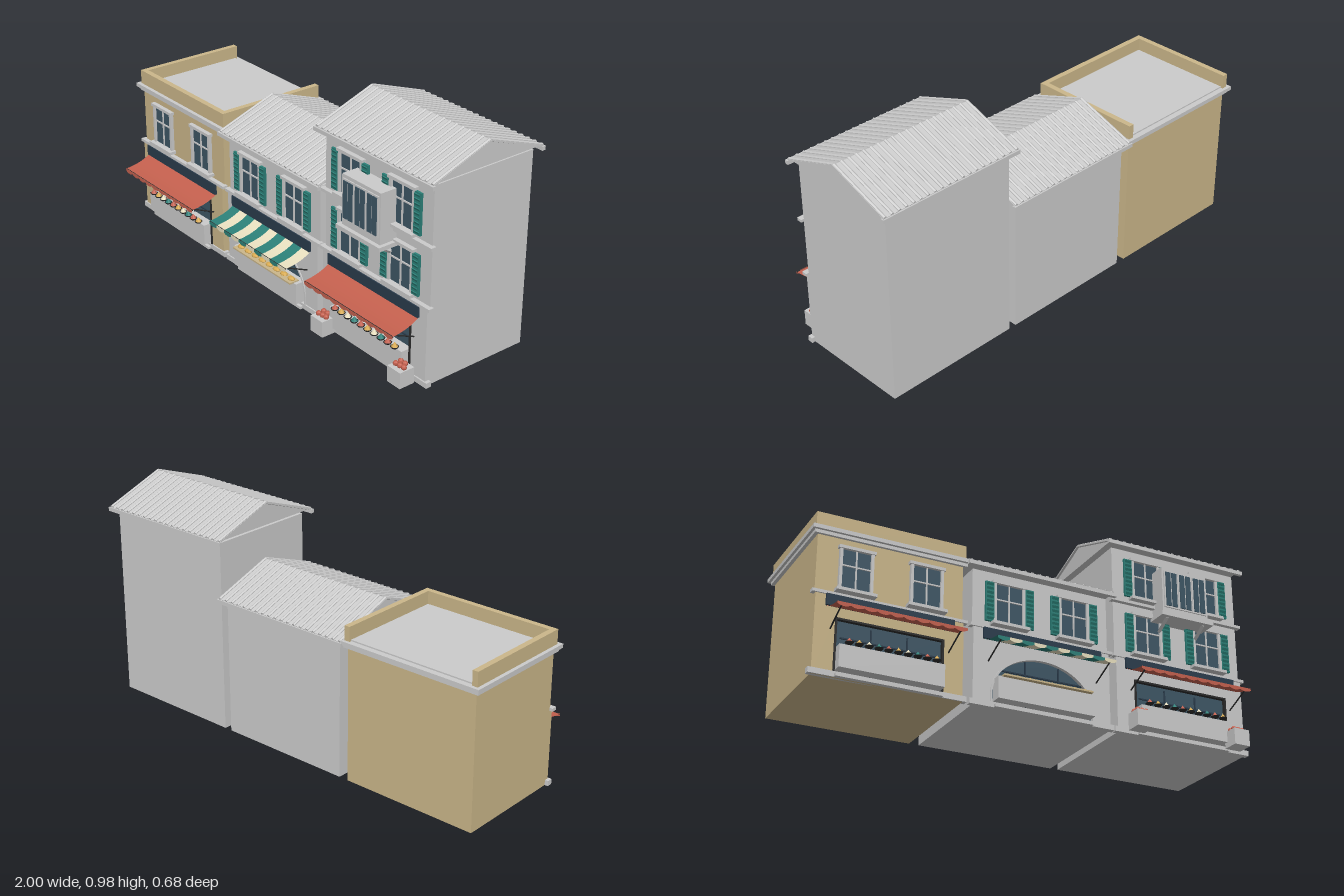
import * as THREE from 'three';

const mat = (color, side = THREE.FrontSide) => new THREE.MeshStandardMaterial({ color, side, flatShading: true });
const grey = mat(0xcccccc), tan = mat(0xcbb78a), glass = mat(0x3e5665), navy = mat(0x2a3c4c);
const teal = mat(0x2c8078), red = mat(0xc4604e), gold = mat(0xd9ab52), cream = mat(0xe9e0c0), dark = mat(0x2b2b2b);
const cloth = { red: mat(0xc4604e, THREE.DoubleSide), teal: mat(0x2c8078, THREE.DoubleSide), cream: mat(0xe9e0c0, THREE.DoubleSide) };
const WALL = 0.19, BACK = -0.31, HALF = 0.31;

function add(parent, name, geometry, material, x = 0, y = 0, z = 0) {
  const m = new THREE.Mesh(geometry, material);
  m.name = name;
  m.position.set(x, y, z);
  parent.add(m);
  return m;
}

// box given by its limits on each axis
function block(parent, name, material, x0, x1, y0, y1, z0, z1) {
  return add(parent, name, new THREE.BoxGeometry(x1 - x0, y1 - y0, z1 - z0), material,
    (x0 + x1) / 2, (y0 + y1) / 2, (z0 + z1) / 2);
}

// rod between two points
function rod(parent, name, material, a, b, r, sides = 6) {
  const p = new THREE.Vector3(...a), q = new THREE.Vector3(...b), d = q.clone().sub(p);
  const m = add(parent, name, new THREE.CylinderGeometry(r, r, d.length(), sides), material);
  m.position.copy(p).add(q).multiplyScalar(0.5);
  m.quaternion.setFromUnitVectors(new THREE.Vector3(0, 1, 0), d.normalize());
  return m;
}

function sub(parent, name, x = 0, y = 0, z = 0) {
  const g = new THREE.Group();
  g.name = name;
  g.position.set(x, y, z);
  parent.add(g);
  return g;
}

// window with frame, glazing bars, lintel, sill and optional louvred shutters; y is the sill's underside
function windowUnit(parent, x, y, shutters) {
  const g = sub(parent, 'window', x, y, WALL);
  block(g, 'glass', glass, -0.062, 0.062, 0.01, 0.19, 0, 0.006);
  for (const s of [-1, 1]) {
    add(g, 'windowJamb', new THREE.BoxGeometry(0.012, 0.178, 0.016), grey, s * 0.065, 0.1, 0.008);
    if (!shutters) continue;
    const sh = sub(g, 'shutter', s * 0.09, 0.101, 0.012);
    add(sh, 'shutterPanel', new THREE.BoxGeometry(0.038, 0.175, 0.01), teal);
    for (let i = 0; i < 9; i++) {
      const slat = add(sh, 'shutterSlat', new THREE.BoxGeometry(0.03, 0.01, 0.004), teal, 0, -0.076 + i * 0.019, 0.006);
      slat.rotation.x = 0.4;
    }
  }
  block(g, 'mullion', grey, -0.003, 0.003, 0.01, 0.19, 0, 0.011);
  block(g, 'transom', grey, -0.06, 0.06, 0.115, 0.121, 0, 0.011);
  block(g, 'lintel', grey, -0.077, 0.077, 0.187, 0.2, 0, 0.02);
  block(g, 'sill', grey, -0.083, 0.083, 0, 0.013, 0, 0.034);
}

// sagging awning made of stripes, each with a rounded valance
function awning(parent, colors) {
  const g = sub(parent, 'awning'), n = 10, w = 0.534 / n;
  const curve = new THREE.QuadraticBezierCurve3(new THREE.Vector3(0, 0.287, 0.208),
    new THREE.Vector3(0, 0.255, 0.255), new THREE.Vector3(0, 0.25, 0.335));
  const flap = new THREE.Shape();
  flap.moveTo(-w / 2, 0).lineTo(-w / 2, -0.01).quadraticCurveTo(0, -0.025, w / 2, -0.01).lineTo(w / 2, 0);
  for (let i = 0; i < n; i++) {
    const geo = new THREE.PlaneGeometry(w, 1, 1, 8), p = geo.attributes.position;
    for (let k = 0; k < p.count; k++) {
      const c = curve.getPoint(0.5 - p.getY(k));
      p.setXYZ(k, p.getX(k), c.y, c.z);
    }
    geo.computeVertexNormals();
    const x = (i + 0.5) * w - 0.267, m = colors[i % colors.length];
    add(g, 'awningStripe', geo, m, x);
    add(g, 'awningValance', new THREE.ShapeGeometry(flap, 5), m, x, 0.25, 0.335);
  }
  for (const s of [-1, 1]) rod(g, 'awningArm', dark, [s * 0.245, 0.246, 0.328], [s * 0.245, 0.193, 0.207], 0.003);
  rod(g, 'awningBar', dark, [-0.265, 0.248, 0.332], [0.265, 0.248, 0.332], 0.003);
}

// shop opening outline, square or arched
function openingPath(PathType, arched, grow = 0) {
  const p = new PathType(), w = 0.226 + grow;
  if (arched) {
    p.moveTo(w, 0.02).lineTo(w, 0.06);
    p.absellipse(0, 0.06, w, 0.178 + grow, 0, Math.PI, false, 0);
    p.lineTo(-w, 0.02);
  } else p.moveTo(w, 0.02).lineTo(w, 0.245 + grow).lineTo(-w, 0.245 + grow).lineTo(-w, 0.02);
  p.closePath();
  return p;
}

function shopFront(parent, wall, arched, colors) {
  const g = sub(parent, 'shopFront');
  const front = new THREE.Shape();
  front.moveTo(-HALF, 0).lineTo(HALF, 0).lineTo(HALF, 0.34).lineTo(-HALF, 0.34).closePath();
  front.holes.push(openingPath(THREE.Path, arched));
  const opts = { depth: 0.014, bevelEnabled: false, curveSegments: 24 };
  add(g, 'shopWall', new THREE.ExtrudeGeometry(front, opts), wall, 0, 0, WALL);
  const trim = openingPath(THREE.Shape, arched, arched ? 0.008 : 0);
  trim.holes.push(openingPath(THREE.Path, arched, arched ? 0 : -0.008));
  add(g, 'openingTrim', new THREE.ExtrudeGeometry(trim, { ...opts, depth: 0.019 }), arched ? grey : dark, 0, 0, WALL);
  add(g, 'shopGlass', new THREE.ShapeGeometry(openingPath(THREE.Shape, arched), 24), glass, 0, 0, WALL + 0.003);
  for (const x of [-0.075, 0.075]) block(g, 'shopMullion', navy, x - 0.003, x + 0.003, 0.03, 0.225, WALL, 0.198);
  block(g, 'shopTransom', navy, -0.2, 0.2, 0.165, 0.171, WALL, 0.198);
  block(g, 'plinth', grey, -0.325, 0.325, 0, 0.023, 0.185, 0.21);
  block(g, 'step', grey, -0.22, 0.22, 0, 0.012, WALL, 0.224);
  block(g, 'counter', grey, -0.217, 0.217, 0.03, 0.124, WALL, 0.243);
  block(g, 'signBoard', navy, -0.268, 0.268, 0.287, 0.335, 0.2, 0.215);
  block(g, 'stringCourse', grey, -0.325, 0.325, 0.334, 0.347, 0.185, 0.21);
  awning(g, colors);
  // goods on display: loaves for the arched shop, heaped bowls otherwise
  const heaps = [red, gold, cream, teal], n = arched ? 8 : 10;
  for (let i = 0; i < n; i++) {
    const x = (i - (n - 1) / 2) * 0.4 / n;
    if (arched) {
      const loaf = add(g, 'loaf', new THREE.SphereGeometry(0.02, 8, 6), gold, x, 0.131, 0.235);
      loaf.scale.set(1, 0.5, 0.7);
    } else {
      add(g, 'bowl', new THREE.CylinderGeometry(0.018, 0.013, 0.006, 10), dark, x, 0.13, 0.246);
      add(g, 'heap', new THREE.ConeGeometry(0.014, 0.02, 8), heaps[i % 4], x, 0.143, 0.246);
    }
  }
  if (arched) block(g, 'breadTray', tan, -0.2, 0.2, 0.122, 0.129, 0.215, 0.262);
}

// ribbed gable roof with its ridge along x
function gableRoof(parent, base) {
  const g = sub(parent, 'roof', 0, base, 0), ridge = [0.1, -0.057], w = 0.337;
  const s = new THREE.Shape();
  s.moveTo(0.332, 0).lineTo(0.057, 0.097).lineTo(-0.218, 0).closePath();
  const gable = add(g, 'gable', new THREE.ExtrudeGeometry(s, { depth: 2 * w - 0.02, bevelEnabled: false }), grey, -w + 0.01);
  gable.rotation.y = Math.PI / 2;
  for (const eave of [0.221, -0.335]) {
    const dz = eave - ridge[1], len = Math.hypot(dz, ridge[0]);
    const slab = add(g, 'roofPanel', new THREE.BoxGeometry(2 * w, 0.006, len), grey, 0, ridge[0] / 2, (eave + ridge[1]) / 2);
    slab.rotation.x = Math.atan2(ridge[0], Math.abs(dz)) * Math.sign(dz);
    for (let i = 0; i < 20; i++) {
      const x = -w + 0.008 + i * (2 * w - 0.016) / 19;
      rod(g, 'roofRib', grey, [x, 0.003, eave], [x, ridge[0] + 0.002, ridge[1]], 0.0075);
    }
    block(g, 'gutter', grey, -0.342, 0.342, -0.016, 0.001, eave - 0.007, eave + 0.009);
  }
}

function building(parent, name, x, height, wall, arched, colors, shutters) {
  const g = sub(parent, name, x);
  block(g, 'walls', wall, -HALF, HALF, 0, height, BACK, WALL);
  shopFront(g, wall, arched, colors);
  for (const s of [-1, 1]) windowUnit(g, s * 0.149, 0.357, shutters);
  return g;
}

export function createModel() {
  const model = new THREE.Group();
  model.name = 'shopRow';

  // flat-roofed shop with a parapet on three sides
  const a = building(model, 'flatRoofShop', -0.663, 0.62, tan, false, [cloth.red], false);
  block(a, 'lowerCornice', grey, -0.325, 0.325, 0.59, 0.604, -0.322, 0.202);
  block(a, 'upperCornice', grey, -0.336, 0.336, 0.604, 0.621, -0.335, 0.214);
  block(a, 'roofDeck', grey, -0.3, 0.3, 0.62, 0.627, BACK, 0.18);
  block(a, 'frontParapet', tan, -0.32, 0.32, 0.62, 0.684, 0.172, 0.197);
  for (const s of [-1, 1])
    add(a, 'sideParapet', new THREE.BoxGeometry(0.025, 0.064, 0.5), tan, s * 0.3075, 0.652, -0.07);

  // arched bakery
  const b = building(model, 'archedShop', 0, 0.595, grey, true, [cloth.teal, cloth.cream], true);
  gableRoof(b, 0.612);

  // three-storey shop
  const c = building(model, 'tallShop', 0.655, 0.85, grey, false, [cloth.red], true);
  gableRoof(c, 0.866);
  block(c, 'upperStringCourse', grey, -0.325, 0.325, 0.592, 0.605, 0.185, 0.21);
  for (const s of [-1, 1]) windowUnit(c, s * 0.149, 0.613, true);

  // projecting bay on brackets
  const bay = sub(c, 'bay');
  block(bay, 'bayBox', grey, -0.112, 0.112, 0.548, 0.765, WALL, 0.272);
  block(bay, 'bayFloor', grey, -0.128, 0.128, 0.532, 0.55, WALL, 0.29);
  for (const x of [-0.07, 0, 0.07]) {
    block(bay, 'bayFrame', grey, x - 0.034, x + 0.034, 0.578, 0.75, 0.27, 0.277);
    for (const s of [-1, 1])
      block(bay, 'bayPane', glass, x + s * 0.015 - 0.012, x + s * 0.015 + 0.012, 0.585, 0.743, 0.27, 0.281);
  }
  for (const s of [-1, 1]) rod(bay, 'bayBracket', grey, [s * 0.09, 0.535, 0.268], [s * 0.09, 0.493, 0.2], 0.009, 4);

  // crates of fruit beside the door
  for (const s of [-1, 1]) {
    const crate = sub(c, 'crate', s * 0.235, 0, 0.261);
    block(crate, 'crateBox', grey, -0.037, 0.037, 0.006, 0.077, -0.036, 0.036);
    for (const [fx, fz] of [[-0.02, -0.018], [0.004, -0.018], [0.022, 0.004], [-0.02, 0.008], [0.002, 0.006]])
      add(crate, 'fruit', new THREE.SphereGeometry(0.012, 8, 6), red, fx, 0.084, fz);
  }
  return model;
}
